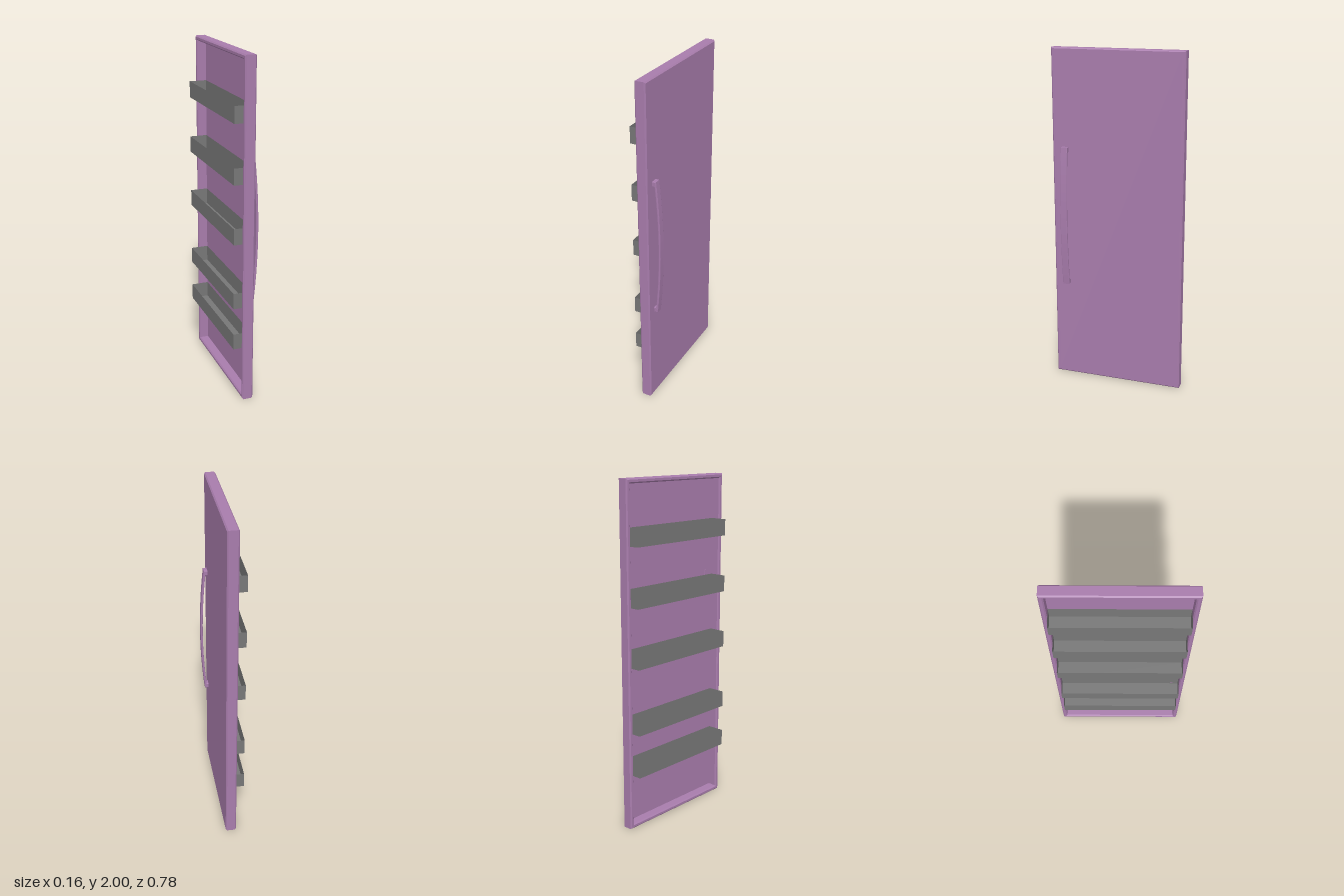
import * as THREE from 'three';

const purple = new THREE.MeshStandardMaterial({ color: 0xa87cac });
const darkGrey = new THREE.MeshStandardMaterial({ color: 0x777777, side: THREE.DoubleSide });

const HEIGHT = 2, HALF_DEPTH = 0.392, HALF_THICK = 0.032;
const BEVEL = 0.007, RIM = 0.027;

function addMesh(parent, name, geometry, material) {
  const mesh = new THREE.Mesh(geometry, material);
  mesh.name = name;
  parent.add(mesh);
  return mesh;
}

// Traces a rectangle centred on the origin
function rectangle(path, halfW, halfH) {
  path.moveTo(-halfW, -halfH);
  path.lineTo(halfW, -halfH);
  path.lineTo(halfW, halfH);
  path.lineTo(-halfW, halfH);
  path.closePath();
  return path;
}

// Chamfered frame around the recessed inner side
function frameGeometry() {
  const halfH = HEIGHT / 2;
  const shape = rectangle(new THREE.Shape(), HALF_DEPTH - BEVEL, halfH - BEVEL);
  const inset = RIM - BEVEL;
  shape.holes.push(rectangle(new THREE.Path(), HALF_DEPTH - inset, halfH - inset));
  const depth = 2 * (HALF_THICK - BEVEL);
  const geometry = new THREE.ExtrudeGeometry(shape, {
    depth, bevelEnabled: true, bevelThickness: BEVEL, bevelSize: BEVEL, bevelSegments: 1,
  });
  geometry.translate(0, 0, -depth / 2);
  geometry.rotateY(Math.PI / 2);
  return geometry.translate(0, halfH, 0);
}

// Bowed grip with a foot at each end, drawn in x-y and extruded along z
function handleGeometry() {
  const b = 0.004, half = 0.42 - b, foot = half - 0.024;
  const shape = new THREE.Shape();
  shape.moveTo(0.026, -half);
  shape.lineTo(0.05, -half);
  shape.quadraticCurveTo(0.095, 0, 0.05, half);
  shape.lineTo(0.026, half);
  shape.lineTo(0.026, foot);
  shape.lineTo(0.047, foot);
  shape.quadraticCurveTo(0.088, 0, 0.047, -foot);
  shape.lineTo(0.026, -foot);
  shape.closePath();
  const depth = 0.042 - 2 * b;
  const geometry = new THREE.ExtrudeGeometry(shape, {
    depth, curveSegments: 16, bevelEnabled: true,
    bevelThickness: b, bevelSize: b, bevelSegments: 2,
  });
  return geometry.translate(0, 1.015, 0.316 - depth / 2);
}

// Thin-walled bin: a box without its top face
function binGeometry(width, height, depth) {
  const box = new THREE.BoxGeometry(width, height, depth);
  const index = Array.from(box.index.array);
  index.splice(12, 6);
  box.setIndex(index);
  box.clearGroups();
  return box;
}

export function createModel() {
  const model = new THREE.Group();
  model.name = 'door';

  addMesh(model, 'doorFrame', frameGeometry(), purple);

  // Outer panel closing the frame, flush with its outer face
  const panelThick = 0.009, inset = RIM - BEVEL;
  const panel = addMesh(model, 'doorPanel',
    new THREE.BoxGeometry(panelThick, HEIGHT - 2 * inset, 2 * (HALF_DEPTH - inset)), purple);
  panel.position.set(HALF_THICK - panelThick / 2, HEIGHT / 2, 0);

  addMesh(model, 'handle', handleGeometry(), purple);

  // Storage bins across the inner side
  const bins = new THREE.Group();
  bins.name = 'bins';
  model.add(bins);
  const outer = -0.08, inner = HALF_THICK - panelThick - 0.001;
  const bin = binGeometry(inner - outer, 0.095, 0.728);
  for (const y of [0.373, 0.627, 1.013, 1.355, 1.69]) {
    addMesh(bins, 'bin', bin, darkGrey).position.set((inner + outer) / 2, y, 0);
  }
  return model;
}
